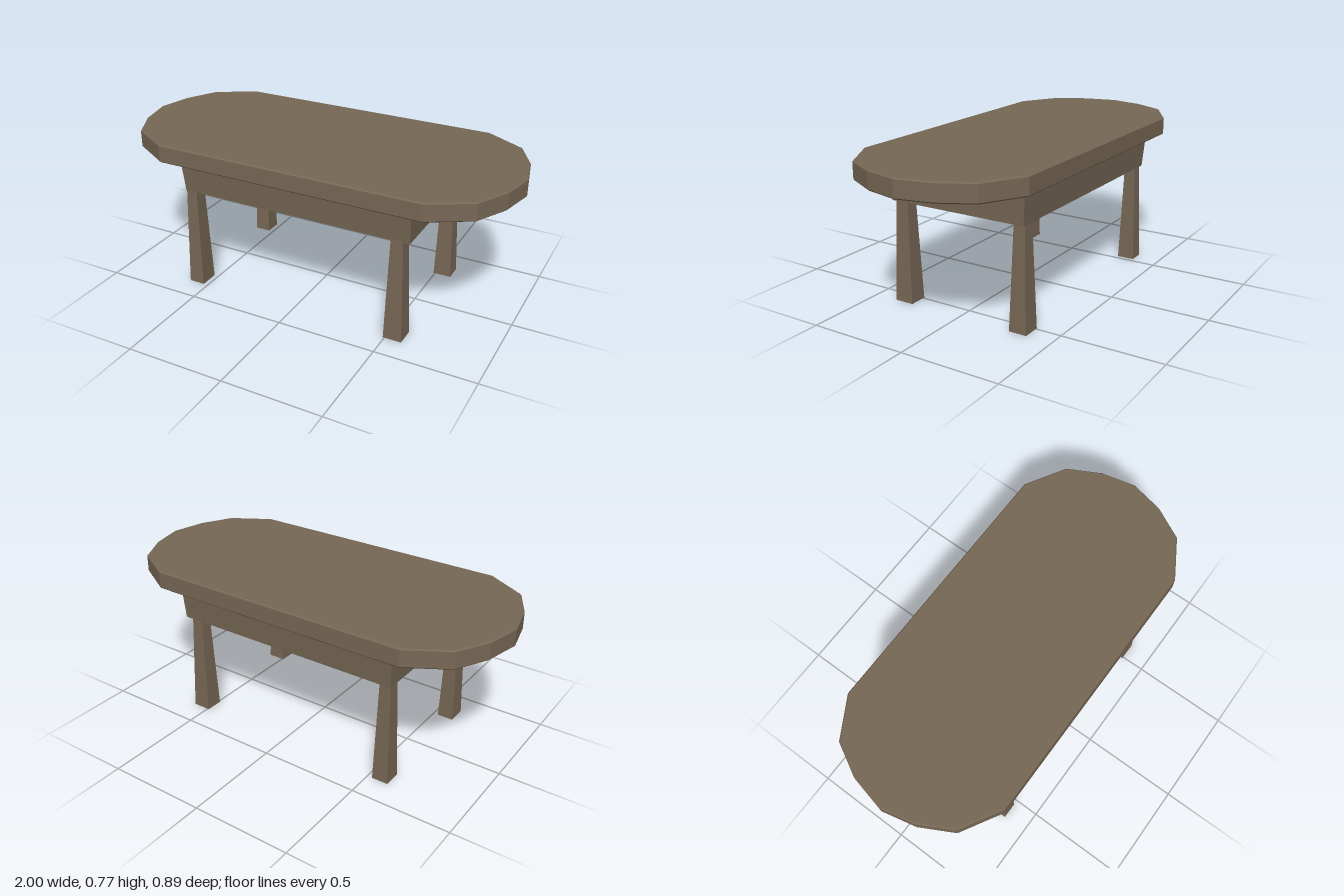
import * as THREE from 'three';

// Box whose bottom and top rectangles differ: [x0, x1, z0, z1]
function taperedBox(bottom, top, y0, y1) {
  const geo = new THREE.BoxGeometry(1, 1, 1);
  const p = geo.attributes.position;
  for (let i = 0; i < p.count; i++) {
    const r = p.getY(i) > 0 ? top : bottom;
    p.setXYZ(i,
      p.getX(i) > 0 ? r[1] : r[0],
      p.getY(i) > 0 ? y1 : y0,
      p.getZ(i) > 0 ? r[3] : r[2]);
  }
  geo.computeVertexNormals();
  return geo;
}

export function createModel() {
  const table = new THREE.Group();
  table.name = 'table';
  const wood = new THREE.MeshStandardMaterial({ color: 0x776855 });
  wood.name = 'brown wood';
  wood.flatShading = true;

  const add = (name, geo) => {
    const mesh = new THREE.Mesh(geo, wood);
    mesh.name = name;
    table.add(mesh);
    return mesh;
  };

  // Table top: faceted oval slab with a tiny bevel
  const end = [[0.68, -0.445], [0.877, -0.33], [0.962, -0.17], [1, 0],
    [0.962, 0.17], [0.877, 0.33], [0.68, 0.445]];
  const outline = [...end, ...end.map(([x, y]) => [-x, -y])];
  const bevel = 0.006, y0 = 0.682, y1 = 0.774;
  const slab = new THREE.ExtrudeGeometry(
    new THREE.Shape(outline.map(([x, y]) => new THREE.Vector2(x, y))),
    { depth: y1 - y0 - 2 * bevel, bevelEnabled: true, bevelSegments: 1,
      bevelSize: bevel, bevelThickness: bevel, bevelOffset: -bevel });
  slab.rotateX(-Math.PI / 2);
  slab.translate(0, y0 + bevel, 0);
  add('tableTop', slab);

  // Apron: solid block narrowing downwards
  add('apron', taperedBox([-0.6, 0.597, -0.364, 0.36], [-0.61, 0.605, -0.377, 0.376], 0.516, 0.684));

  // Legs: square posts widening towards the floor
  const legX = { right: [[-0.607, -0.525], [-0.595, -0.538]], left: [[0.492, 0.585], [0.506, 0.566]] };
  const legZ = { front: [[0.278, 0.378], [0.295, 0.361]], back: [[-0.369, -0.279], [-0.352, -0.295]] };
  for (const [zName, z] of Object.entries(legZ)) {
    for (const [xName, x] of Object.entries(legX)) {
      add(`${zName}${xName === 'left' ? 'Left' : 'Right'}Leg`,
        taperedBox([...x[0], ...z[0]], [...x[1], ...z[1]], 0, 0.52));
    }
  }
  return table;
}
